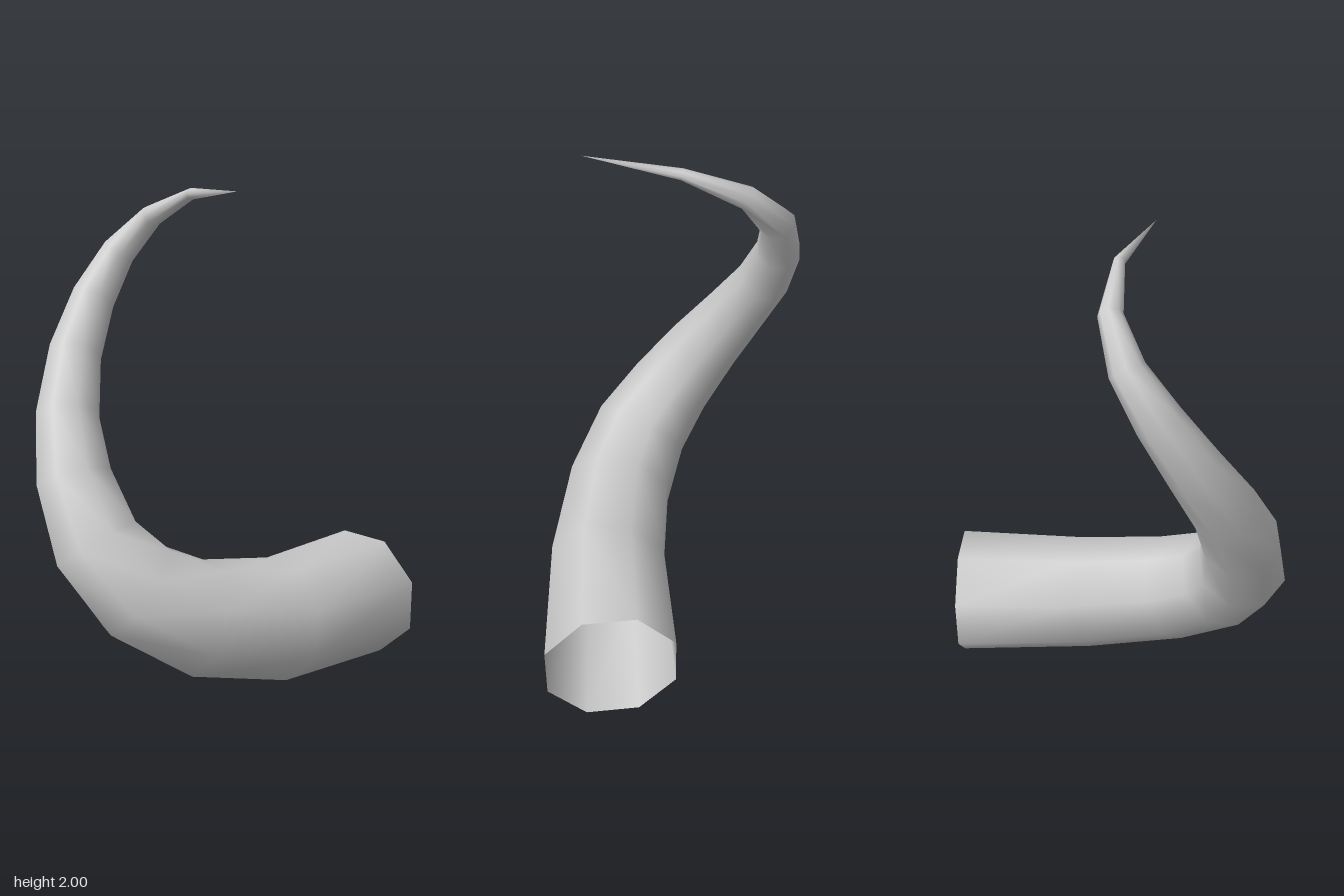
import * as THREE from 'three';

const SIDES = 8;

// Centre line of the horn from the open root to the tip: x, y, z, radius
const RINGS = [
  [0.685, 0.255, 0.293, 0.272],
  [0.14, 0.287, 0.258, 0.249],
  [-0.235, 0.387, 0.172, 0.228],
  [-0.44, 0.53, 0.053, 0.207],
  [-0.515, 0.695, -0.085, 0.18],
  [-0.493, 0.915, -0.225, 0.154],
  [-0.415, 1.135, -0.345, 0.128],
  [-0.293, 1.355, -0.43, 0.107],
  [-0.168, 1.555, -0.455, 0.088],
  [-0.057, 1.73, -0.422, 0.067],
  [0.003, 1.873, -0.295, 0.045],
  [-0.018, 1.97, -0.06, 0.022],
];
const TIP = [-0.145, 2.0, 0.283];

// Tapered tube: rings carried along the centre line without twisting, closed in a point
function hornGeometry() {
  const centres = [...RINGS, TIP].map(([x, y, z]) => new THREE.Vector3(x, y, z));
  const positions = [];
  const index = [];
  const tangent = new THREE.Vector3(-1, 0, 0);
  const up = new THREE.Vector3(0, 1, 0);

  RINGS.forEach(([, , , radius], i) => {
    if (i > 0) {
      const next = centres[i + 1].clone().sub(centres[i - 1]).normalize();
      up.applyQuaternion(new THREE.Quaternion().setFromUnitVectors(tangent, next));
      tangent.copy(next);
    }
    const side = tangent.clone().cross(up);
    for (let j = 0; j < SIDES; j++) {
      const a = ((j + 0.5) / SIDES) * Math.PI * 2;
      const p = centres[i].clone()
        .addScaledVector(up, Math.cos(a) * radius)
        .addScaledVector(side, Math.sin(a) * radius);
      positions.push(p.x, p.y, p.z);
    }
  });
  positions.push(...TIP);

  const tip = RINGS.length * SIDES;
  for (let i = 0; i < RINGS.length; i++) {
    for (let j = 0; j < SIDES; j++) {
      const k = (j + 1) % SIDES;
      const a = i * SIDES + j;
      const b = i * SIDES + k;
      if (i === RINGS.length - 1) index.push(a, b, tip);
      else index.push(a, b, a + SIDES, b, b + SIDES, a + SIDES);
    }
  }

  const geometry = new THREE.BufferGeometry();
  geometry.setAttribute('position', new THREE.Float32BufferAttribute(positions, 3));
  geometry.setIndex(index);
  geometry.computeVertexNormals();
  return geometry;
}

export function createModel() {
  const group = new THREE.Group();
  group.name = 'curledHorn';

  // Open, hollow shell, so both faces show
  const material = new THREE.MeshStandardMaterial({ color: 0xcccccc, side: THREE.DoubleSide });
  const horn = new THREE.Mesh(hornGeometry(), material);
  horn.name = 'horn';
  group.add(horn);
  return group;
}
